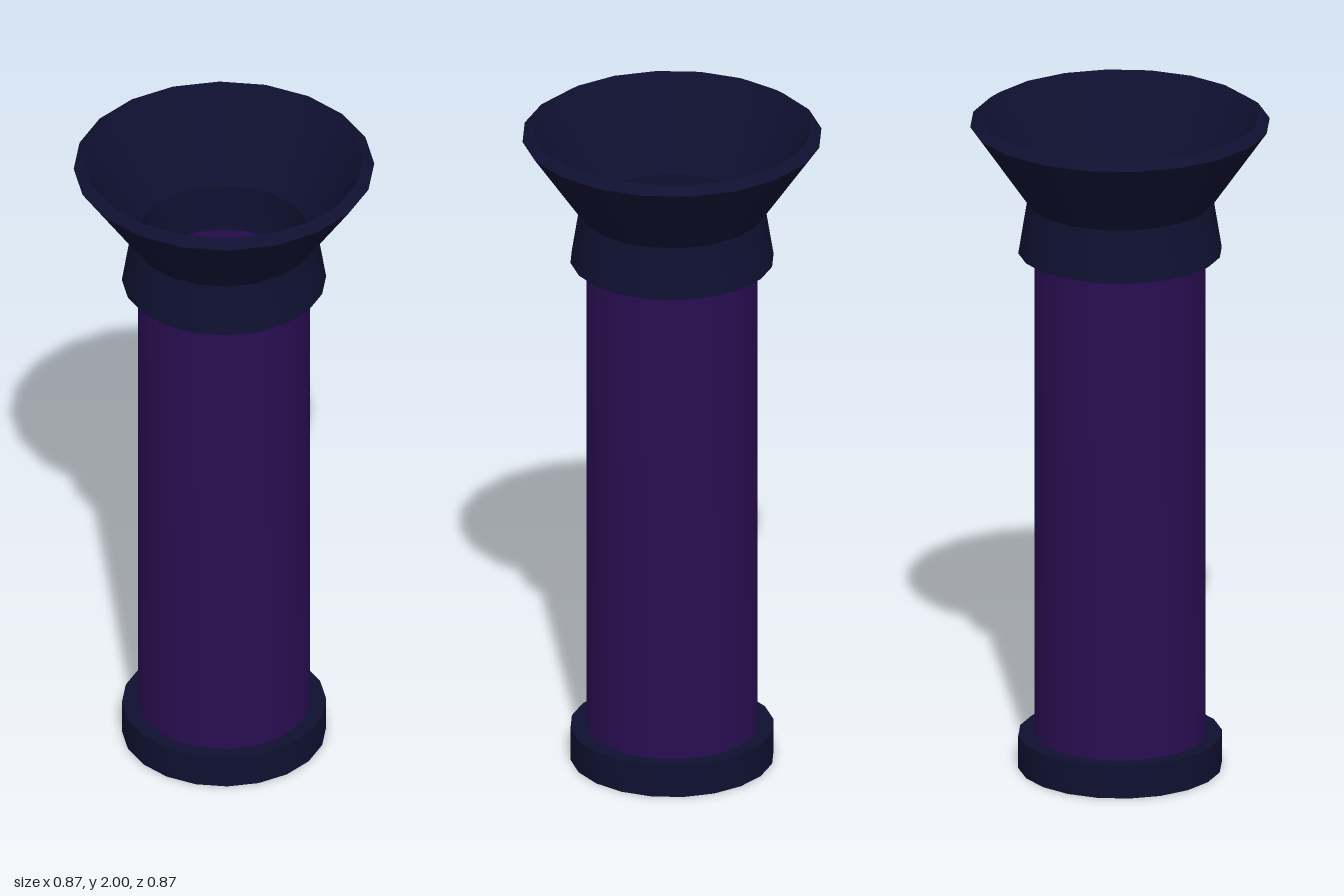
import * as THREE from 'three';
import { toCreasedNormals } from 'three/addons/utils/BufferGeometryUtils.js';

const SIDES = 20;
const PHASE = THREE.MathUtils.degToRad(12); // turn of the polygon about y

export function createModel() {
  const navy = new THREE.MeshStandardMaterial({ color: 0x0f1030 });
  navy.name = 'darkNavy';
  const purple = new THREE.MeshStandardMaterial({ color: 0x290e52, side: THREE.DoubleSide });
  purple.name = 'deepPurple';

  const model = new THREE.Group();
  model.name = 'hollowColumn';

  // Spins a profile of [radius, height] points, keeping profile corners sharp
  function turned(name, profile, material) {
    const points = profile.map(([r, y]) => new THREE.Vector2(r, y));
    const lathe = new THREE.LatheGeometry(points, SIDES, PHASE);
    const mesh = new THREE.Mesh(toCreasedNormals(lathe, 0.5), material);
    mesh.name = name;
    model.add(mesh);
  }

  // Base collar: a square-section ring
  turned('baseCollar', [[0.297, 0], [0.297, 0.1], [0.25, 0.1], [0.25, 0], [0.297, 0]], navy);

  // Shaft: thin open tube
  turned('shaft', [[0.25, 0.1], [0.25, 1.585]], purple);

  // Flared capital: collar, bell, bevelled rim and hollow funnel inside
  turned('flaredCapital', [
    [0.25, 1.585], [0.297, 1.585], [0.272, 1.74], [0.437, 1.978],
    [0.405, 2], [0.25, 1.74], [0.25, 1.585],
  ], navy);

  return model;
}
